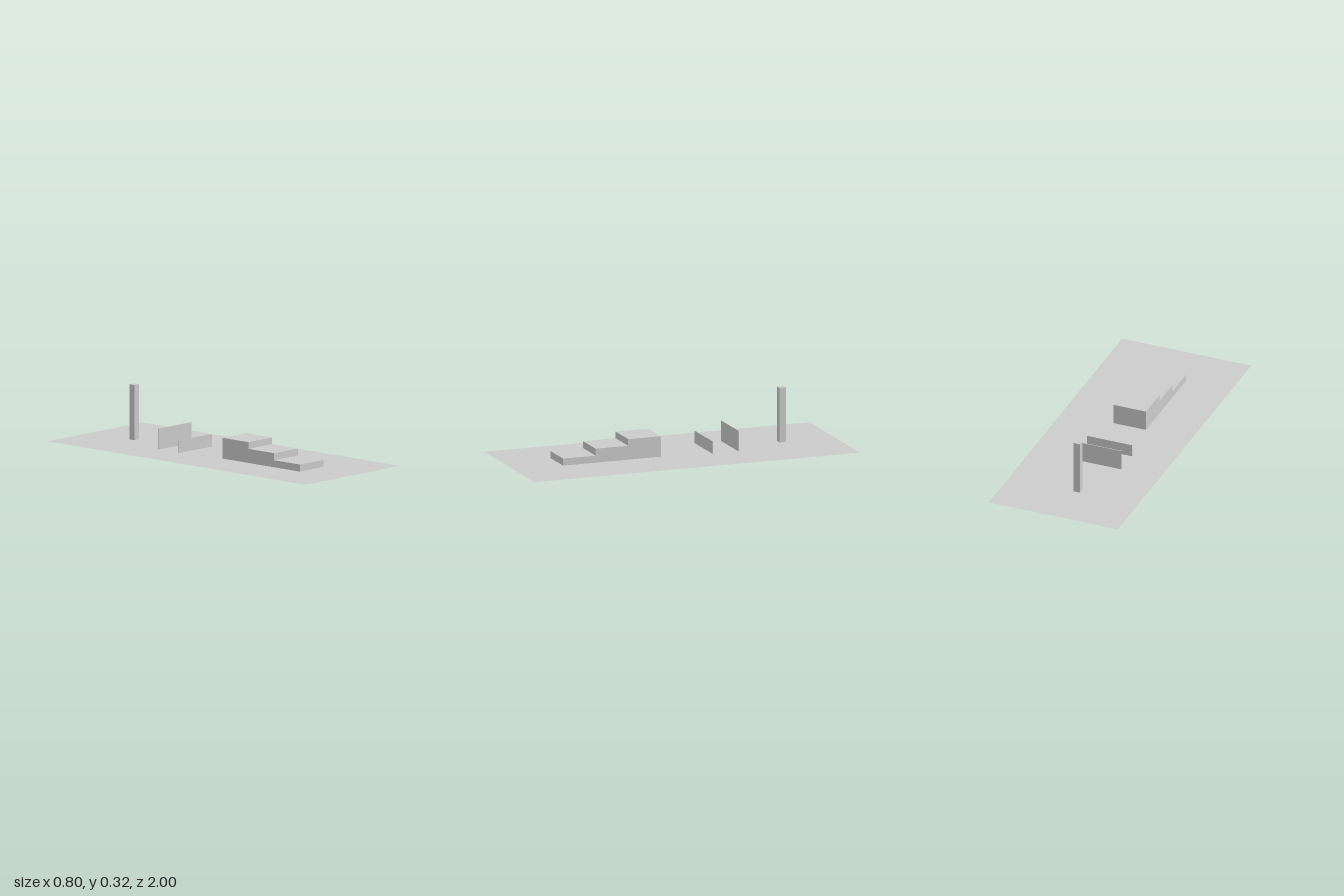
import * as THREE from 'three';

export function createModel() {
  const group = new THREE.Group();
  const mat = new THREE.MeshStandardMaterial({ color: 0xcccccc, flatShading: true });

  // Box standing on the ground, given by its x and z extents and its top
  function block(name, x0, x1, z0, z1, top) {
    const mesh = new THREE.Mesh(new THREE.BoxGeometry(x1 - x0, top, z1 - z0), mat);
    mesh.position.set((x0 + x1) / 2, top / 2, (z0 + z1) / 2);
    mesh.name = name;
    group.add(mesh);
  }

  // Thin ground sheet
  const groundMat = mat.clone();
  groundMat.side = THREE.DoubleSide;
  const ground = new THREE.Mesh(new THREE.PlaneGeometry(0.8, 2).rotateX(-Math.PI / 2), groundMat);
  ground.name = 'groundSheet';
  group.add(ground);

  // Three steps rising towards the back
  [0.041, 0.082, 0.121].forEach((top, i) => {
    const front = 0.7 - i * 0.2;
    block(`step${i + 1}`, -0.12, 0.08, front - 0.2, front, top);
  });

  // Two thin upright walls
  block('lowWall', -0.16, 0.12, -0.206, -0.202, 0.073);
  block('highWall', -0.16, 0.12, -0.366, -0.362, 0.121);

  // Square post
  block('post', -0.04, 0, -0.7, -0.66, 0.321);

  return group;
}
